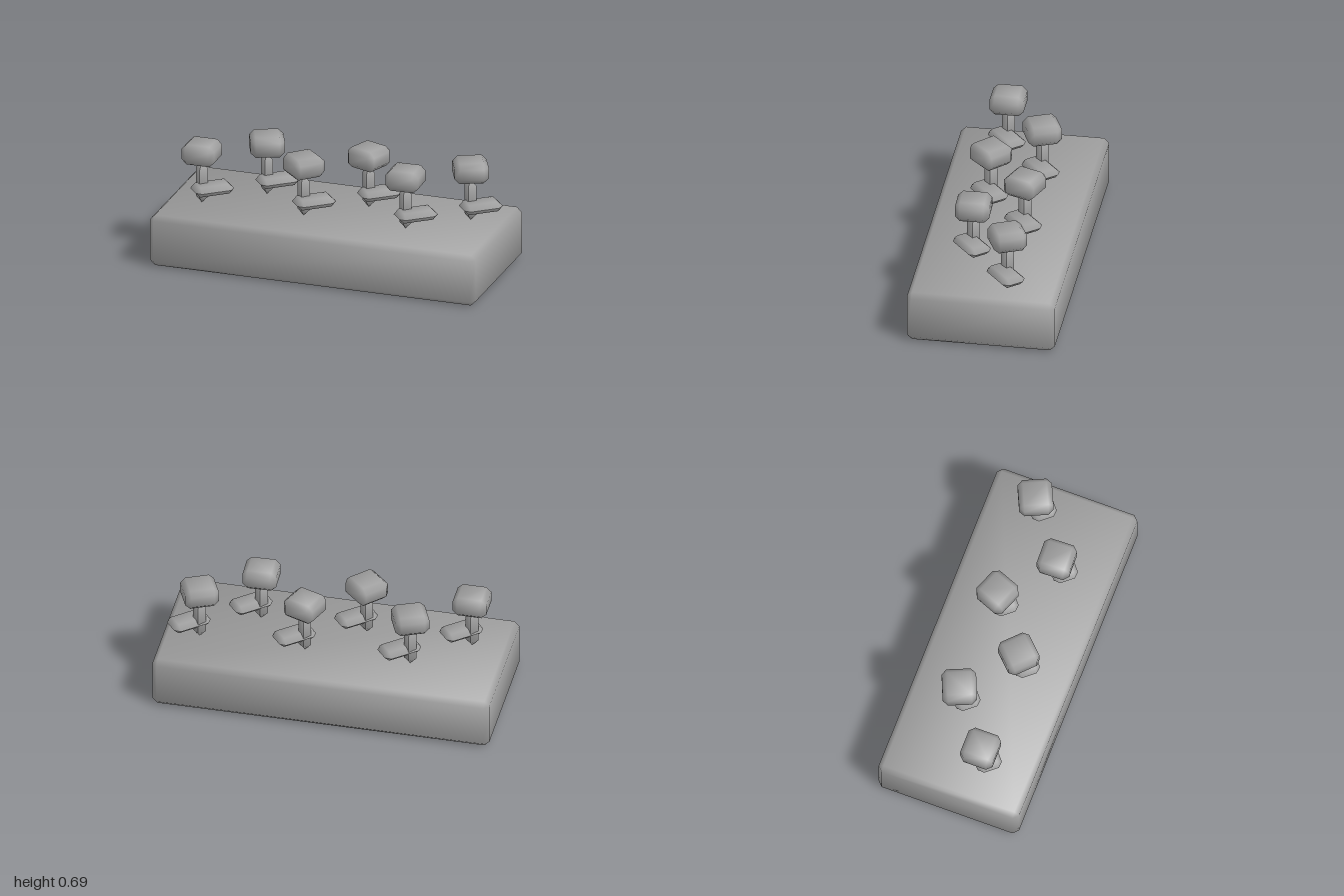
import * as THREE from 'three';

const grey = new THREE.MeshStandardMaterial({ color: 0xa0a0a0 });
grey.name = 'grey';

// Box with all edges cut at 45 degrees by c and softly shaded
function chamferBox(w, h, d, c) {
  const geo = new THREE.BoxGeometry(w, h, d);
  const pos = geo.attributes.position, nor = geo.attributes.normal;
  const ids = {};
  const key = (axis, s) => axis + ':' + s.join();
  for (let i = 0; i < pos.count; i++) {
    const p = [pos.getX(i), pos.getY(i), pos.getZ(i)];
    const n = [nor.getX(i), nor.getY(i), nor.getZ(i)];
    const s = p.map(Math.sign);
    const axis = n.findIndex((v) => Math.abs(v) > 0.5);
    ids[key(axis, s)] = i;
    pos.setXYZ(i, ...p.map((v, k) => (k === axis ? v : v - s[k] * c)));
    const soft = new THREE.Vector3(...s.map((v, k) => (k === axis ? v : v * 0.39))).normalize();
    nor.setXYZ(i, soft.x, soft.y, soft.z);
  }

  // Add a triangle, turned so that it faces outward
  const index = Array.from(geo.index.array);
  const point = (i) => new THREE.Vector3().fromBufferAttribute(pos, i);
  const tri = (a, b, e, out) => {
    const A = point(a);
    const n = point(b).sub(A).cross(point(e).sub(A));
    index.push(...(n.dot(out) >= 0 ? [a, b, e] : [a, e, b]));
  };

  // Twelve edge strips
  for (let k = 0; k < 3; k++) {
    const a = (k + 1) % 3, b = (k + 2) % 3;
    for (const sa of [-1, 1]) for (const sb of [-1, 1]) {
      const lo = [0, 0, 0], hi = [0, 0, 0];
      lo[a] = hi[a] = sa;
      lo[b] = hi[b] = sb;
      lo[k] = -1;
      hi[k] = 1;
      const out = new THREE.Vector3().addVectors(new THREE.Vector3(...lo), new THREE.Vector3(...hi));
      const q = [ids[key(a, lo)], ids[key(a, hi)], ids[key(b, hi)], ids[key(b, lo)]];
      tri(q[0], q[1], q[2], out);
      tri(q[0], q[2], q[3], out);
    }
  }
  // Eight corner triangles
  for (const x of [-1, 1]) for (const y of [-1, 1]) for (const z of [-1, 1]) {
    const s = [x, y, z];
    tri(ids[key(0, s)], ids[key(1, s)], ids[key(2, s)], new THREE.Vector3(...s));
  }
  geo.setIndex(index);
  geo.clearGroups();
  return geo;
}

function part(name, geo, x, y, z, turn = 0) {
  const mesh = new THREE.Mesh(geo, grey);
  mesh.name = name;
  mesh.position.set(x, y, z);
  mesh.rotation.y = turn;
  return mesh;
}

export function createModel() {
  const model = new THREE.Group();
  model.name = 'flowerBed';

  // Bed
  model.add(part('bed', chamferBox(2, 0.3125, 0.87, 0.03), 0, 0.15625, 0));

  const stem = chamferBox(0.075, 0.252, 0.075, 0.0375);
  const leaf = chamferBox(0.24, 0.06, 0.15, 0.03);
  const head = chamferBox(0.2, 0.124, 0.2, 0.03);

  // Two staggered rows of flowers, each head turned a little further
  for (let i = 0; i < 6; i++) {
    const flower = new THREE.Group();
    flower.name = 'flower' + (i + 1);
    flower.position.set(-0.78 + i * 0.3125, 0, i % 2 ? -0.125 : 0.125);
    flower.add(
      part('stem', stem, 0, 0.4385, 0),
      part('leaf', leaf, 0.0635, 0.408, 0, 0.7),
      part('flowerHead', head, 0, 0.6265, 0, i * 0.4),
    );
    model.add(flower);
  }
  return model;
}
